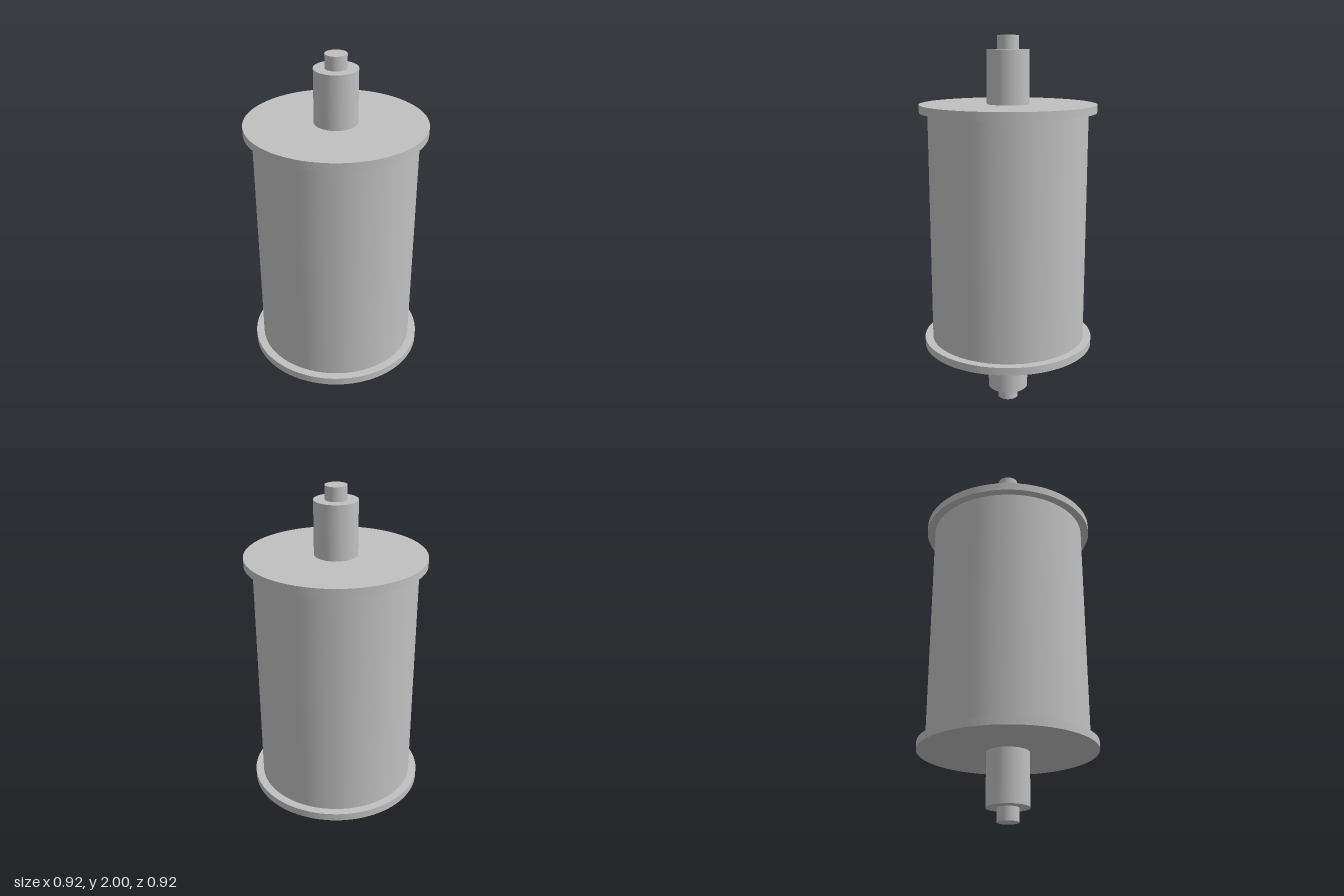
import * as THREE from 'three';

export function createModel() {
  const model = new THREE.Group();
  model.name = 'roller';
  const steel = new THREE.MeshStandardMaterial({ color: 0xc0c0c0 });
  steel.name = 'grey steel';

  // Upright cylinder spanning two heights
  function addCylinder(name, radius, bottom, top) {
    const geometry = new THREE.CylinderGeometry(radius, radius, top - bottom, 96);
    const mesh = new THREE.Mesh(geometry, steel);
    mesh.name = name;
    mesh.position.y = (bottom + top) / 2;
    model.add(mesh);
  }

  // Main drum between the flanges
  addCylinder('drum', 0.417, 0.386, 1.614);

  // Matching flange, shaft and end pin above and below the drum
  for (const [side, sign] of [['upper', 1], ['lower', -1]]) {
    const addEnd = (part, radius, near, far) => {
      const a = 1 + sign * near;
      const b = 1 + sign * far;
      addCylinder(side + part, radius, Math.min(a, b), Math.max(a, b));
    };
    addEnd('Flange', 0.46, 0.614, 0.655);
    addEnd('Shaft', 0.11, 0.655, 0.93);
    addEnd('Pin', 0.055, 0.93, 1);
  }
  return model;
}
